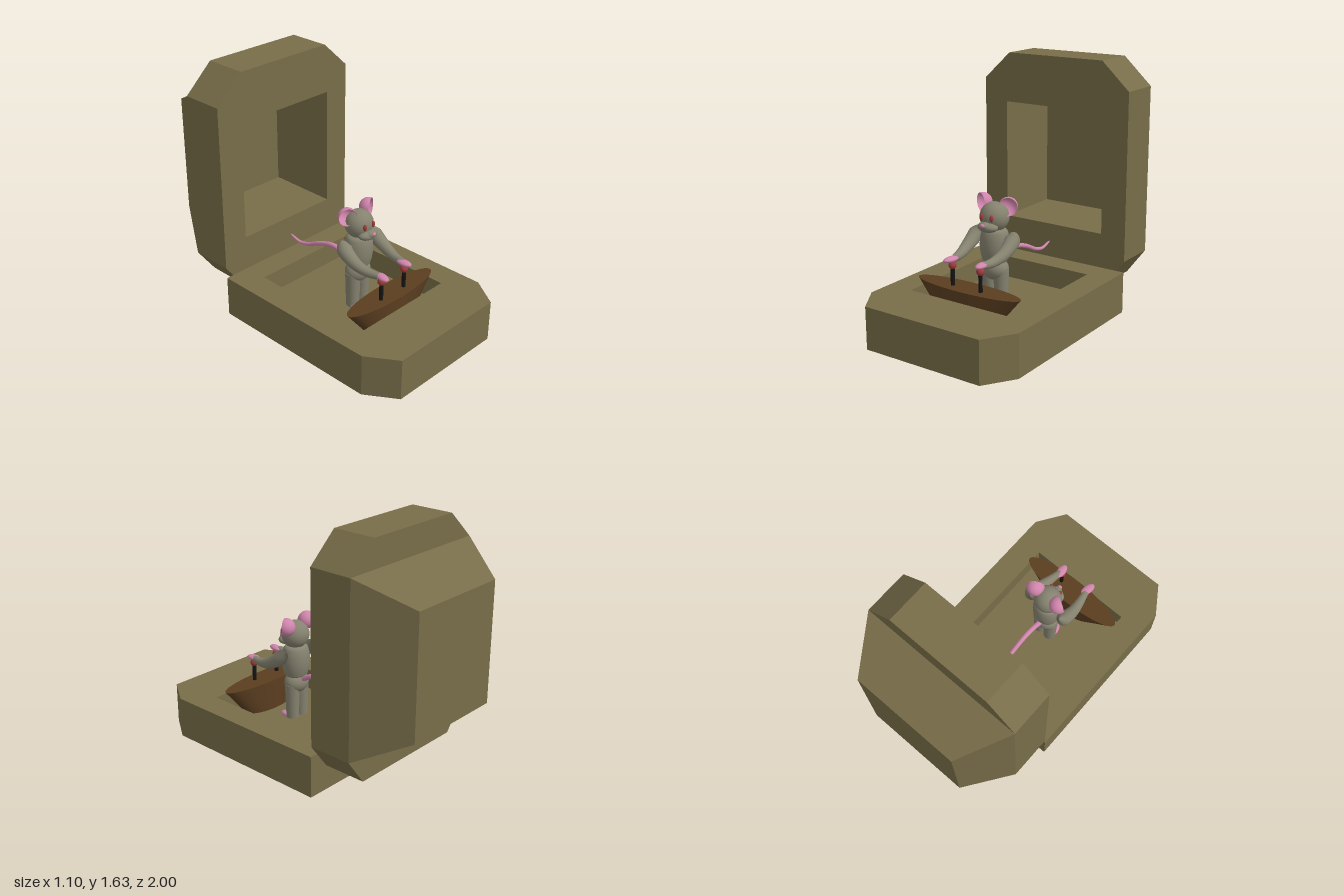
import * as THREE from 'three';

const mat = (color, side = THREE.FrontSide) => new THREE.MeshStandardMaterial({ color, side });
const CASE = 0x786d49, FUR = 0x85826f, PINK = 0xd085ac, RED = 0xa03a3a;
const WOOD = 0x5a3d20, BLACK = 0x151515;

function add(parent, name, geo, color, pos = [0, 0, 0], side) {
  const m = new THREE.Mesh(geo, mat(color, side));
  m.name = name;
  m.position.set(...pos);
  parent.add(m);
  return m;
}

// Ellipsoid with the given half sizes
function blob(parent, name, color, pos, half) {
  return add(parent, name, new THREE.SphereGeometry(1, 28, 18).scale(...half), color, pos);
}

// Flat outline with optional rectangular hole, extruded along +z
function slab(points, depth, hole) {
  const v = pts => pts.map(p => new THREE.Vector2(...p));
  const shape = new THREE.Shape(v(points));
  if (hole) {
    const [x, y0, y1] = hole;
    shape.holes.push(new THREE.Path(v([[-x, y0], [-x, y1], [x, y1], [x, y0]])));
  }
  return new THREE.ExtrudeGeometry(shape, { depth, bevelEnabled: false });
}

// Box without its front (+z) face
function openBox(w, h, d) {
  const g = new THREE.BoxGeometry(w, h, d);
  const idx = Array.from(g.index.array);
  g.setIndex([...idx.slice(0, 24), ...idx.slice(30)]);
  g.clearGroups();
  return g;
}

// Tube whose radius follows radius(t)
function taperedTube(points, radius, seg = 40) {
  const radial = 16;
  const curve = new THREE.CatmullRomCurve3(points.map(p => new THREE.Vector3(...p)));
  const g = new THREE.TubeGeometry(curve, seg, 1, radial);
  const p = g.attributes.position, v = new THREE.Vector3();
  for (let i = 0; i < p.count; i++) {
    const t = Math.floor(i / (radial + 1)) / seg;
    const c = curve.getPointAt(t);
    v.fromBufferAttribute(p, i).sub(c).multiplyScalar(radius(t)).add(c);
    p.setXYZ(i, v.x, v.y, v.z);
  }
  return g;
}

function buildCase(root) {
  // Base with a sunken floor; outline y is -z
  const base = new THREE.Group();
  base.name = 'base';
  root.add(base);
  const plan = [[-0.55, 0.385], [-0.55, -0.805], [-0.42, -1], [0.42, -1], [0.55, -0.805], [0.55, 0.385]];
  const floorY = 0.13;
  add(base, 'baseFloor', slab(plan, floorY).rotateX(-Math.PI / 2), CASE);
  add(base, 'baseRim', slab(plan, 0.275 - floorY, [0.375, -0.64, 0.22]).rotateX(-Math.PI / 2), CASE, [0, floorY, 0]);

  // Upright lid with window
  const lid = new THREE.Group();
  lid.name = 'lid';
  root.add(lid);
  const outline = [[-0.42, 0.17], [0.42, 0.17], [0.55, 0.345], [0.55, 1.455], [0.355, 1.635],
    [-0.355, 1.635], [-0.55, 1.455], [-0.55, 0.345]];
  add(lid, 'lidFrame', slab(outline, 0.29, [0.375, 0.505, 1.305]), CASE, [0, 0, -0.68]);

  // Sloped back of the lid
  const hump = openBox(1.1, 1.11, 0.32);
  const p = hump.attributes.position;
  for (let i = 0; i < p.count; i++) {
    if (p.getZ(i) < 0) p.setXY(i, Math.sign(p.getX(i)) * 0.36, Math.sign(p.getY(i)) * 0.395);
  }
  hump.computeVertexNormals();
  add(lid, 'lidBack', hump, CASE, [0, 0.9, -0.84]);
  add(lid, 'lidNiche', openBox(0.75, 0.8, 0.21), CASE, [0, 0.905, -0.785], THREE.BackSide);
}

function buildConsole(root) {
  const g = new THREE.Group();
  g.name = 'controlConsole';
  root.add(g);
  // Oval desk narrowing downward in width only
  const desk = new THREE.CylinderGeometry(1, 1, 0.21, 64);
  const p = desk.attributes.position;
  for (let i = 0; i < p.count; i++) {
    p.setX(i, p.getX(i) * (p.getY(i) > 0 ? 0.382 : 0.205));
    p.setZ(i, p.getZ(i) * 0.0875);
  }
  const old = desk.attributes.normal.clone();
  desk.computeVertexNormals();
  // Keep the caps flat
  for (let i = 0; i < p.count; i++) {
    if (Math.abs(old.getY(i)) > 0.9) desk.attributes.normal.setXYZ(i, 0, old.getY(i), 0);
  }
  add(g, 'desk', desk, WOOD, [-0.005, 0.235, 0.54]);
  for (const x of [-0.11, 0.1]) {
    add(g, 'leverStick', new THREE.CylinderGeometry(0.013, 0.013, 0.14, 20), BLACK, [x, 0.4, 0.556]);
    blob(g, 'leverKnob', RED, [x, 0.468, 0.556], [0.025, 0.025, 0.025]);
  }
}

function buildMouse(root) {
  const m = new THREE.Group();
  m.name = 'mouse';
  m.position.x = -0.005;
  root.add(m);

  // Torso and hips
  const profile = [[0, 0.43], [0.07, 0.435], [0.086, 0.46], [0.096, 0.51], [0.097, 0.56], [0.09, 0.61],
    [0.07, 0.645], [0, 0.66]].map(q => new THREE.Vector2(...q));
  const spline = new THREE.SplineCurve(profile).getPoints(32);
  spline.forEach(q => { q.x = Math.max(q.x, 0); });
  add(m, 'torso', new THREE.LatheGeometry(spline, 32).scale(1, 1, 0.9), FUR, [0, 0, 0.265]);
  blob(m, 'hips', FUR, [0, 0.385, 0.262], [0.09, 0.075, 0.075]);

  // Head, muzzle and nose
  blob(m, 'head', FUR, [0, 0.722, 0.267], [0.094, 0.094, 0.09]);
  blob(m, 'muzzle', FUR, [0, 0.672, 0.338], [0.07, 0.034, 0.05]);
  blob(m, 'snout', FUR, [0, 0.683, 0.355], [0.035, 0.024, 0.042]);
  blob(m, 'nose', PINK, [0, 0.692, 0.394], [0.015, 0.012, 0.01]);

  for (const s of [-1, 1]) {
    blob(m, 'eye', RED, [s * 0.037, 0.733, 0.35], [0.012, 0.022, 0.012]);

    // Bowl-shaped ear opening forward and outward
    const bowl = new THREE.SphereGeometry(0.06, 28, 16, 0, Math.PI * 2, Math.PI * 0.42, Math.PI * 0.58)
      .rotateX(Math.PI / 2);
    const ear = add(m, 'ear', bowl, PINK, [s * 0.096, 0.798, 0.256], THREE.DoubleSide);
    ear.rotation.y = s * 0.5;

    // Arm tapering to the wrist
    const arm = [[s * 0.125, 0.635, 0.235], [s * 0.138, 0.59, 0.275], [s * 0.14, 0.53, 0.37],
      [s * 0.127, 0.503, 0.46], [s * 0.113, 0.502, 0.54]];
    add(m, 'arm', taperedTube(arm, t => (0.056 - 0.034 * t) * Math.pow(Math.min(1, t / 0.17), 0.5)), FUR);
    const hand = blob(m, 'hand', PINK, [s * 0.11, 0.506, s < 0 ? 0.565 : 0.55], [0.029, 0.018, 0.055]);
    hand.rotation.y = s < 0 ? -0.2 : 0.05;

    // Leg and foot
    add(m, 'leg', new THREE.CylinderGeometry(0.05, 0.042, 0.24, 24), FUR, [s * 0.043, 0.26, 0.26]);
    blob(m, 'foot', PINK, [s * 0.045, 0.148, 0.29], [0.036, 0.02, 0.065]);
  }

  // Wavy tail
  const tail = [[0, 0.42, 0.2], [0, 0.455, 0.13], [0, 0.468, 0.04], [0, 0.435, -0.08],
    [0, 0.385, -0.19], [0, 0.37, -0.27], [0, 0.395, -0.36]];
  add(m, 'tail', taperedTube(tail, t => 0.018 * Math.pow(1 - t, 0.3), 60), PINK);
}

export function createModel() {
  const root = new THREE.Group();
  root.name = 'mousePlayCase';
  buildCase(root);
  buildConsole(root);
  buildMouse(root);
  return root;
}
